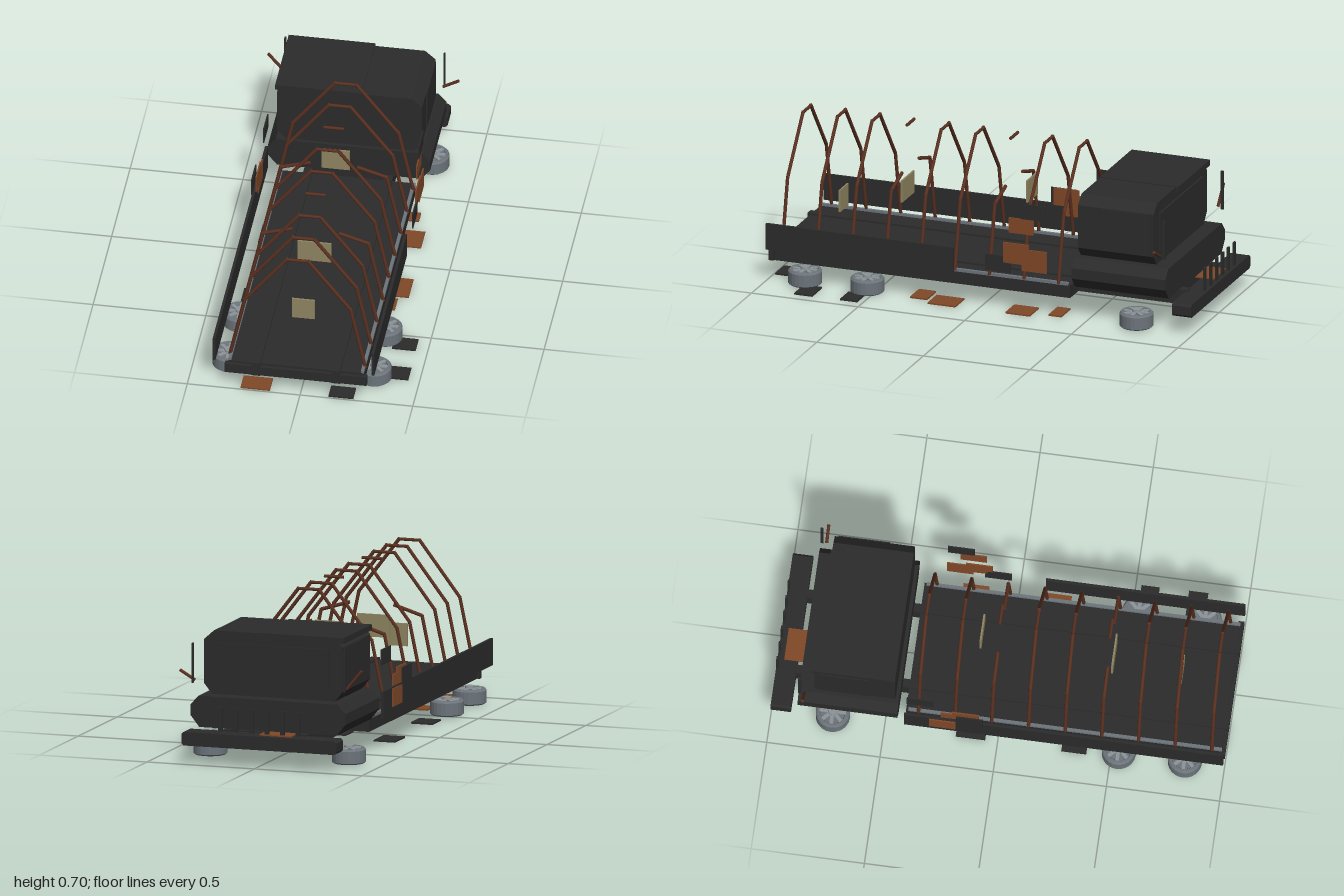
import * as THREE from 'three';

const mat = (name, color) => {
  const m = new THREE.MeshStandardMaterial({ color });
  m.name = name;
  return m;
};

export function createModel() {
  const charred = mat('charred steel', 0x2b2b2b);
  const hoopRust = mat('dark rust', 0x5a3020);
  const rust = mat('bright rust', 0x804828);
  const canvas = mat('khaki canvas', 0x8f8561);
  const grey = mat('wheel grey', 0x6c747a);
  const pale = mat('pale metal', 0x8d9498);

  const truck = new THREE.Group();
  truck.name = 'wreckedTruck';
  const CX = -0.02; // centre line of the truck body

  const add = (name, geo, material, parent = truck) => {
    const mesh = new THREE.Mesh(geo, material);
    mesh.name = name;
    parent.add(mesh);
    return mesh;
  };
  // box given by its limits on each axis
  const box = (name, material, x0, x1, y0, y1, z0, z1, parent) => {
    const m = add(name, new THREE.BoxGeometry(x1 - x0, y1 - y0, z1 - z0), material, parent);
    m.position.set((x0 + x1) / 2, (y0 + y1) / 2, (z0 + z1) / 2);
    return m;
  };
  // round bar between two points
  const rod = (name, material, a, b, r, parent) => {
    const from = new THREE.Vector3(...a), to = new THREE.Vector3(...b);
    const dir = to.clone().sub(from);
    const m = add(name, new THREE.CylinderGeometry(r, r, dir.length(), 8), material, parent);
    m.position.copy(from).add(to).multiplyScalar(0.5);
    m.quaternion.setFromUnitVectors(new THREE.Vector3(0, 1, 0), dir.normalize());
    return m;
  };
  // eight-sided block running along z, with its own top and bottom corner cuts
  const octBlock = (name, hw, y0, y1, z0, z1, top, bottom) => {
    const pts = [[-hw + bottom[0], y0], [hw - bottom[0], y0], [hw, y0 + bottom[1]], [hw, y1 - top[1]],
      [hw - top[0], y1], [-hw + top[0], y1], [-hw, y1 - top[1]], [-hw, y0 + bottom[1]]];
    const shape = new THREE.Shape(pts.map(p => new THREE.Vector2(...p)));
    const geo = new THREE.ExtrudeGeometry(shape, { depth: z1 - z0, bevelEnabled: false });
    add(name, geo, charred).position.set(CX, 0, z0);
  };

  // chassis, deck and bumper
  box('deck', charred, -0.32, 0.28, 0.088, 0.146, -0.41, 0.985);
  box('tailBar', charred, -0.335, 0.295, 0.09, 0.135, 0.975, 1);
  for (const s of [-1, 1]) {
    const x = CX + s * 0.177;
    box('chassisRail', charred, x - 0.02, x + 0.02, 0.087, 0.154, -0.92, 1);
    const ex = CX + s * 0.294;
    box('deckEdgeRail', grey, ex - 0.007, ex + 0.007, 0.144, 0.157, -0.4, 0.985);
  }
  for (const z of [-0.85, -0.47]) box('crossMember', charred, -0.2, 0.16, 0.095, 0.145, z - 0.02, z + 0.02);
  const bumper = new THREE.Shape([[-0.36, 0.01], [-0.35, 0], [0.35, 0], [0.36, 0.01], [0.36, 0.05],
    [0.35, 0.06], [-0.35, 0.06], [-0.36, 0.05]].map(p => new THREE.Vector2(...p)));
  add('bumper', new THREE.ExtrudeGeometry(bumper, { depth: 0.09, bevelEnabled: false }), charred)
    .position.set(CX, 0.088, -1);
  box('bumperRust', rust, -0.16, -0.012, 0.147, 0.153, -0.97, -0.885);

  // side boards; the one on +x is broken short
  box('sideBoardRight', charred, -0.387, -0.375, 0.15, 0.27, -0.41, 1);
  box('sideBoardLeft', charred, 0.316, 0.329, 0.15, 0.27, 0.12, 1);

  // cab
  octBlock('cabLower', 0.36, 0.152, 0.29, -0.88, -0.44, [0.035, 0.04], [0.04, 0.05]);
  octBlock('cabUpper', 0.322, 0.285, 0.572, -0.81, -0.455, [0.045, 0.04], [0.04, 0.05]);
  box('roofPanel', charred, -0.35, 0.035, 0.55, 0.576, -0.823, -0.455);
  box('windscreenPanel', charred, -0.28, 0.24, 0.345, 0.52, -0.818, -0.808);
  for (const s of [-1, 1]) {
    const x = CX + s * 0.323;
    box('doorPanel', charred, x - 0.004, x + 0.004, 0.34, 0.53, -0.795, -0.565);
    const mx = CX + s * 0.353;
    box('mirror', charred, mx - 0.004, mx + 0.004, 0.345, 0.522, -0.878, -0.864);
  }
  rod('mirrorArm', hoopRust, [-0.375, 0.355, -0.85], [-0.445, 0.44, -0.85], 0.007);
  rod('mirrorArm', hoopRust, [0.33, 0.355, -0.85], [0.4, 0.395, -0.85], 0.007);

  // grille bars
  for (let i = 0; i < 6; i++) {
    const x = CX - 0.18 + i * 0.072;
    box('grilleBar', charred, x - 0.01, x + 0.01, 0.16, 0.265, -0.999, -0.99);
  }

  // cover hoops; two have snapped rafters and a loose ridge piece
  const broken = [2, 5];
  for (let i = 0; i < 9; i++) {
    const hoop = new THREE.Group();
    hoop.name = 'coverHoop';
    hoop.position.set(CX, 0, -0.355 + i * 0.162);
    truck.add(hoop);
    const snapped = broken.includes(i);
    for (const s of [-1, 1]) {
      rod('hoopLeg', hoopRust, [s * 0.3, 0.148, 0], [s * 0.234, 0.458, 0], 0.008, hoop);
      const end = snapped ? [s * 0.103, 0.495, 0] : [s * 0.045, 0.7, 0];
      rod('hoopRafter', hoopRust, [s * 0.234, 0.455, 0], end, 0.008, hoop);
    }
    rod('hoopRidge', hoopRust, [-0.045, 0.696, 0], [0.045, 0.696, 0], 0.007, hoop);
  }

  // canvas scraps: x0, x1, y0, y1, z
  for (const [x0, x1, y0, y1, z] of [
    [-0.087, 0.038, 0.413, 0.515, -0.113],
    [-0.098, 0.052, 0.344, 0.445, 0.47],
    [-0.073, 0.028, 0.254, 0.355, 0.77],
  ]) box('canvasScrap', canvas, x0, x1, y0, y1, z - 0.004, z + 0.004);

  // hanging side scraps: material, x, y centre, z centre, height
  for (const [m, x, y, z, h] of [
    [charred, 0.329, 0.48, -0.255, 0.07],
    [rust, 0.329, 0.41, -0.2, 0.07],
    [rust, 0.329, 0.255, -0.26, 0.1],
    [rust, 0.329, 0.28, -0.175, 0.095],
    [charred, 0.329, 0.225, -0.09, 0.075],
    [charred, -0.373, 0.42, -0.34, 0.07],
    [rust, -0.373, 0.305, -0.14, 0.08],
    [rust, -0.373, 0.27, -0.19, 0.1],
    [rust, -0.39, 0.225, -0.24, 0.08],
    [charred, -0.39, 0.3, -0.12, 0.08],
  ]) box('sideScrap', m, x - 0.003, x + 0.003, y - h / 2, y + h / 2, z - 0.059, z + 0.059);

  // scraps on the ground: material, x, z, width, depth
  for (const [m, x, z, w, d] of [
    [rust, 0.255, -0.35, 0.11, 0.06],
    [rust, 0.295, -0.19, 0.11, 0.115],
    [rust, 0.3, 0.165, 0.11, 0.13],
    [rust, 0.255, 0.29, 0.11, 0.08],
    [rust, -0.2, 0.95, 0.13, 0.085],
    [rust, -0.16, 0.65, 0.13, 0.09],
    [charred, 0.395, 0.565, 0.105, 0.08],
    [charred, 0.39, 0.777, 0.12, 0.085],
    [charred, 0.18, 0.955, 0.11, 0.075],
    [charred, -0.315, 0.337, 0.1, 0.11],
    [charred, -0.035, -0.05, 0.13, 0.1],
    [charred, -0.31, -0.12, 0.1, 0.13],
  ]) box('groundScrap', m, x - w / 2, x + w / 2, 0.004, 0.011, z - d / 2, z + d / 2);

  // wheels lying flat on the ground
  const tyreProfile = [[0, 0.008], [0.068, 0.008], [0.075, 0.014], [0.075, 0.068], [0.068, 0.076], [0.058, 0.076], [0.055, 0.07], [0, 0.07]]
    .map(p => new THREE.Vector2(...p));
  for (const z of [-0.73, 0.533, 0.825]) {
    for (const s of [-1, 1]) {
      const wheel = new THREE.Group();
      wheel.name = 'wheel';
      wheel.position.set(CX + s * 0.322, 0, z);
      truck.add(wheel);
      const tyre = new THREE.LatheGeometry(tyreProfile, 24).toNonIndexed();
      tyre.computeVertexNormals();
      add('tyre', tyre, grey, wheel);
      add('hub', new THREE.CylinderGeometry(0.02, 0.022, 0.02, 12), pale, wheel).position.y = 0.077;
      add('hubHole', new THREE.CylinderGeometry(0.032, 0.032, 0.004, 8), charred, wheel).position.y = 0.008;
      for (let k = 0; k < 8; k++) {
        const arm = new THREE.Group();
        arm.name = 'spoke';
        arm.rotation.y = k * Math.PI / 4;
        wheel.add(arm);
        box('spokeBar', pale, 0.015, 0.058, 0.068, 0.076, -0.008, 0.008, arm);
      }
    }
  }
  return truck;
}
